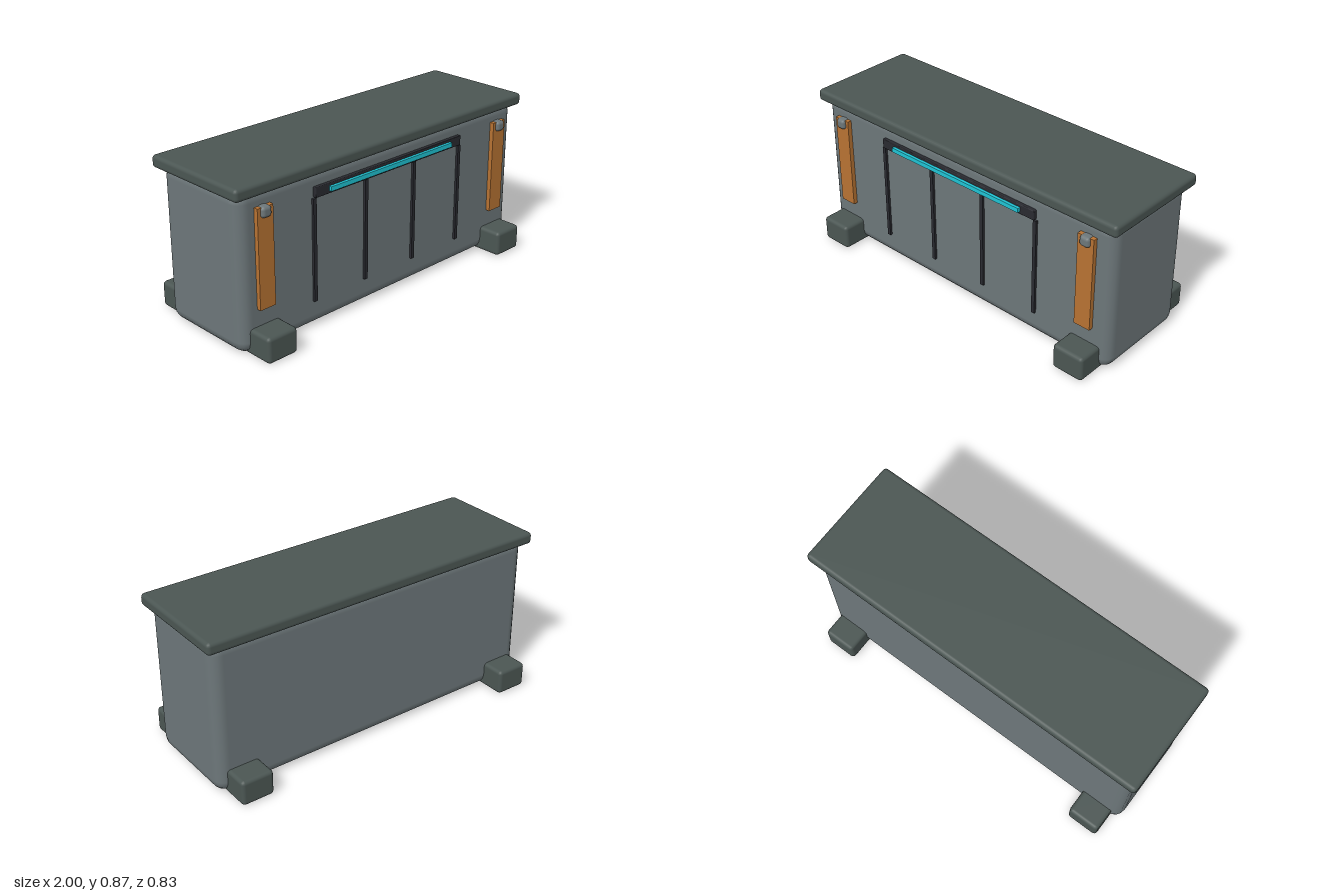
import * as THREE from 'three';
import { RoundedBoxGeometry } from 'three/addons/geometries/RoundedBoxGeometry.js';

const material = (name, color) => {
  const m = new THREE.MeshStandardMaterial({ color });
  m.name = name;
  return m;
};

export function createModel() {
  const model = new THREE.Group();
  model.name = 'storageChest';

  const steel = material('steel grey', 0x6d777a);
  const darkSteel = material('dark green grey', 0x4b5653);
  const copper = material('copper', 0xb87333);
  const black = material('near black', 0x292a30);
  const cyan = material('glowing cyan', 0x20c4d4);

  // Box spanning the given ranges; a radius rounds its edges
  const block = (name, mat, [x0, x1], [y0, y1], [z0, z1], radius = 0, segments = 2) => {
    const size = [x1 - x0, y1 - y0, z1 - z0];
    const geometry = radius
      ? new RoundedBoxGeometry(...size, segments, radius)
      : new THREE.BoxGeometry(...size);
    const mesh = new THREE.Mesh(geometry, mat);
    mesh.name = name;
    mesh.position.set((x0 + x1) / 2, (y0 + y1) / 2, (z0 + z1) / 2);
    model.add(mesh);
    return mesh;
  };

  // Main shell and overhanging lid
  block('body', steel, [-0.97, 0.97], [0.002, 0.835], [-0.285, 0.285], 0.065);
  block('lid', darkSteel, [-1, 1], [0.805, 0.87], [-0.315, 0.315], 0.02);

  for (const side of [-1, 1]) {
    const around = (centre, half) => [side * centre - half, side * centre + half];

    // Corner feet
    block('frontFoot', darkSteel, around(0.83, 0.09), [0, 0.138], [0.195, 0.415], 0.02);
    block('backFoot', darkSteel, around(0.83, 0.09), [0, 0.138], [-0.415, -0.195], 0.02);

    // Copper strap with its stud
    block('strap', copper, around(0.828, 0.047), [0.23, 0.745], [0.28, 0.309]);
    block('stud', steel, around(0.828, 0.029), [0.693, 0.75], [0.27, 0.327], 0.018);
  }

  // Front panel: header, light strip and vertical ribs
  block('header', black, [-0.515, 0.515], [0.69, 0.743], [0.275, 0.305], 0.004);
  block('lightStrip', cyan, [-0.43, 0.43], [0.705, 0.729], [0.3, 0.321]);
  for (let i = 0; i < 4; i++) {
    const x = -0.515 + i * 0.3433;
    block('rib', black, [x - 0.01, x + 0.01], [0.143, 0.686], [0.28, 0.298]);
  }

  return model;
}
